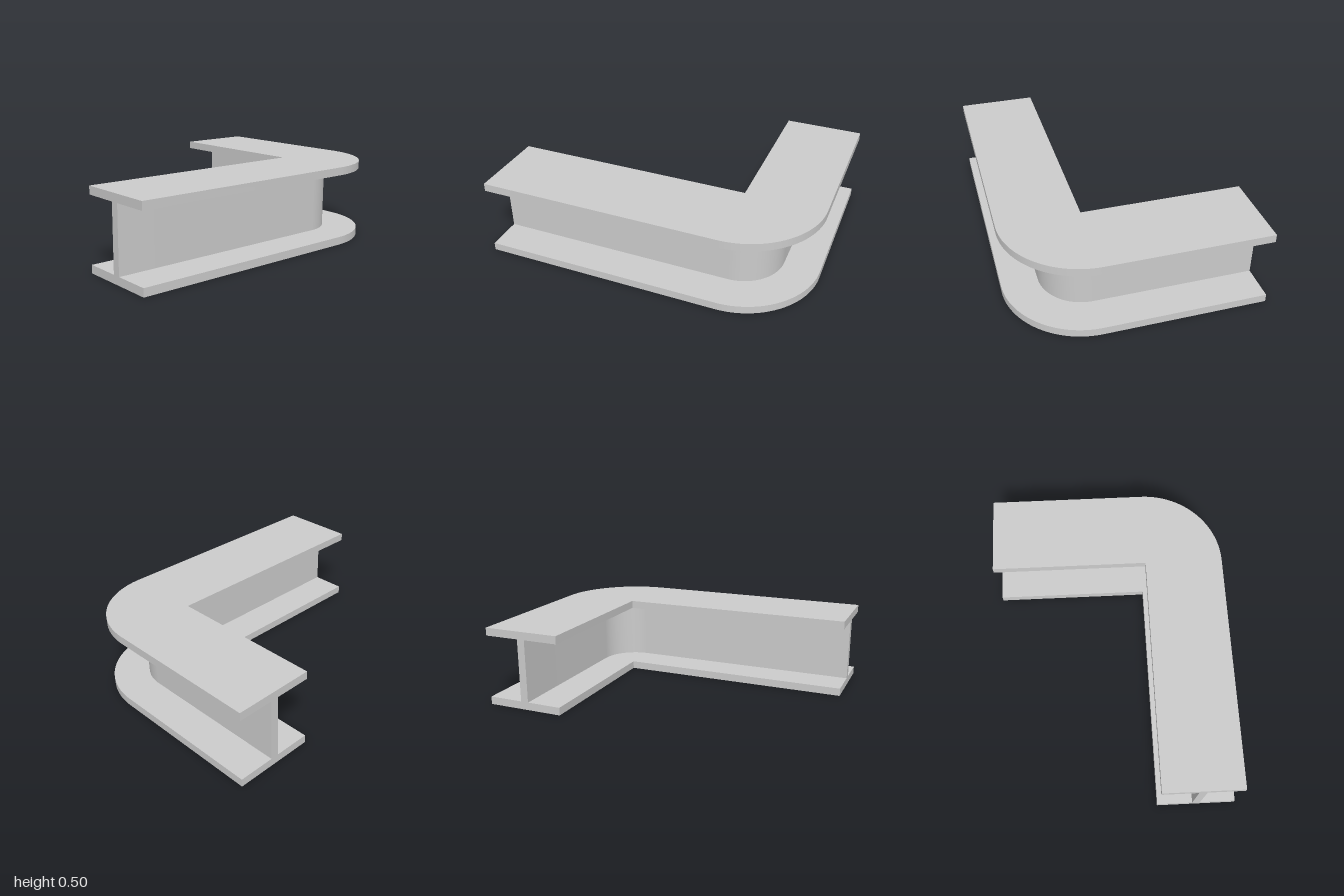
import * as THREE from 'three';
import { toCreasedNormals } from 'three/addons/utils/BufferGeometryUtils.js';

const CX = 0.5, CZ = 0.25;     // centre of the bend
const START_X = -1, END_Z = -0.75;
const HEIGHT = 0.5, THICK = 0.05;

// L-shaped plan between two radii around the bend centre (shape y = -z)
function bentStrip(inner, outer) {
  const s = new THREE.Shape();
  s.moveTo(START_X, -CZ - outer);
  s.lineTo(CX, -CZ - outer);
  s.absarc(CX, -CZ, outer, -Math.PI / 2, 0, false);
  s.lineTo(CX + outer, -END_Z);
  s.lineTo(CX + inner, -END_Z);
  if (inner > 0) s.absarc(CX, -CZ, inner, 0, -Math.PI / 2, true);
  else s.lineTo(CX, -CZ);
  s.lineTo(START_X, -CZ - inner);
  s.closePath();
  return s;
}

export function createModel() {
  const group = new THREE.Group();
  group.name = 'curvedCornerBeam';
  const material = new THREE.MeshStandardMaterial({ color: 0xcccccc });

  function addPlate(name, inner, outer, y, height) {
    const geo = new THREE.ExtrudeGeometry(bentStrip(inner, outer), {
      depth: height, bevelEnabled: false, curveSegments: 32,
    });
    geo.rotateX(-Math.PI / 2);
    geo.translate(0, y, 0);
    const mesh = new THREE.Mesh(toCreasedNormals(geo, Math.PI / 6), material);
    mesh.name = name;
    group.add(mesh);
  }

  // wide flanges with a sharp inner corner, thin web between them
  addPlate('bottomFlange', 0, 0.5, 0, THICK);
  addPlate('web', 0.225, 0.275, THICK, HEIGHT - 2 * THICK);
  addPlate('topFlange', 0, 0.5, HEIGHT - THICK, THICK);
  return group;
}
